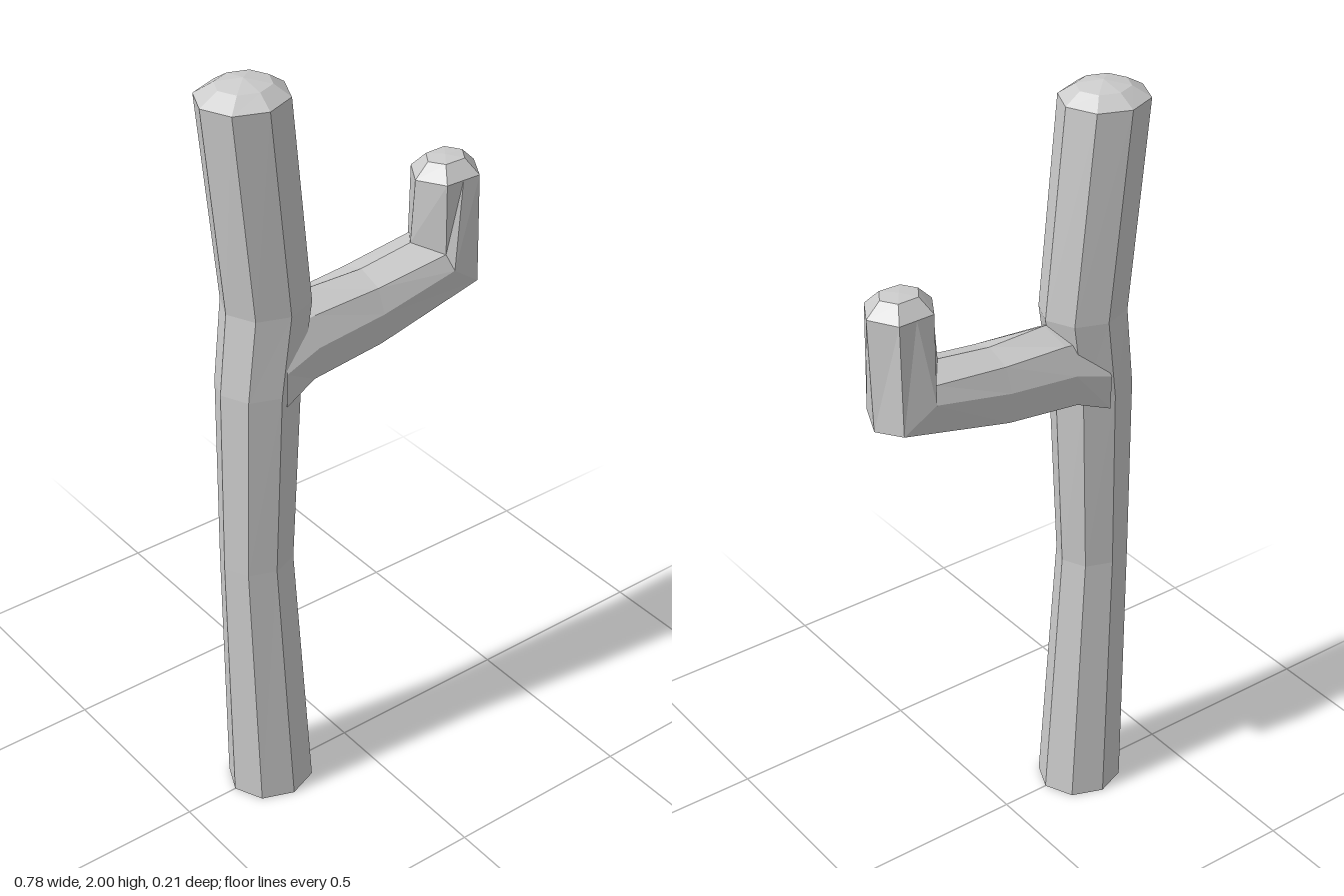
import * as THREE from 'three';

const material = new THREE.MeshStandardMaterial({ color: 0xcccccc, flatShading: true, side: THREE.DoubleSide });

// Five points run along the +z half of a ring; the -z half is mirrored.
function mirrorRing(half) {
  const back = half.slice(1, 4).reverse().map(([x, y, z]) => [x, y, -z]);
  return [...half, ...back];
}

// Skins eight-sided rings and closes the last one with a fan.
function loft(name, halves, tip) {
  const rings = halves.map(mirrorRing);
  const n = 8;
  const index = [];
  for (let i = 0; i < rings.length - 1; i++) {
    for (let j = 0; j < n; j++) {
      const k = (j + 1) % n;
      const a = i * n + j, b = i * n + k;
      index.push(a, b, b + n, a, b + n, a + n);
    }
  }
  const last = (rings.length - 1) * n;
  for (let j = 0; j < n; j++) index.push(last + j, last + (j + 1) % n, last + n);

  const geometry = new THREE.BufferGeometry();
  geometry.setAttribute('position', new THREE.Float32BufferAttribute([...rings.flat(), tip].flat(), 3));
  geometry.setIndex(index);
  const flat = geometry.toNonIndexed();
  flat.computeVertexNormals();
  const mesh = new THREE.Mesh(flat, material);
  mesh.name = name;
  return mesh;
}

// Half octagon from -x through +z to +x.
function trunkRing([y, x, rx, rz]) {
  return [0, 1, 2, 3, 4].map((i) => {
    const t = (i * Math.PI) / 4;
    return [x - rx * Math.cos(t), y, rz * Math.sin(t)];
  });
}

// Arm section at x: heights of ridge, shoulder, side, lower edge and keel.
function armRing(x, ys, zs) {
  return ys.map((y, i) => [x[i], y, zs[i]]);
}

// Upright section, six-sided in outline, centred on x = 0.3.
function uprightRing(y, rx, rz) {
  return [[-1, 0], [-0.54, 1], [0, 1.02], [0.54, 1.04], [1, 0]]
    .map(([x, z]) => [0.298 + x * rx, y, z * rz]);
}

export function createModel() {
  const group = new THREE.Group();
  group.name = 'cactus';

  // Trunk, open underneath, with a low domed top: y, centre x, radius x, radius z
  const trunk = [
    [0, -0.243, 0.113, 0.104],
    [0.72, -0.27, 0.095, 0.085],
    [1.22, -0.254, 0.106, 0.097],
    [1.43, -0.226, 0.112, 0.1],
    [1.96, -0.277, 0.112, 0.104],
    [1.988, -0.273, 0.068, 0.062],
  ].map(trunkRing);
  group.add(loft('trunk', trunk, [-0.273, 2, 0]));

  // Side arm: root inside the trunk, a rising branch, mitred elbow, upright end
  const arm = [
    armRing([-0.22, -0.22, -0.24, -0.24, -0.22], [1.41, 1.37, 1.28, 1.19, 1.18], [0, 0.06, 0.099, 0.097, 0]),
    armRing([-0.11, -0.13, -0.14, -0.15, -0.15], [1.417, 1.38, 1.31, 1.225, 1.205], [0, 0.06, 0.09, 0.082, 0]),
    armRing([0.05, 0.05, 0.05, 0.05, 0.05], [1.413, 1.39, 1.33, 1.246, 1.228], [0, 0.066, 0.09, 0.08, 0]),
    armRing([0.197, 0.25, 0.262, 0.345, 0.376], [1.432, 1.412, 1.373, 1.312, 1.3], [0, 0.07, 0.09, 0.077, 0]),
    uprightRing(1.595, 0.089, 0.068),
    uprightRing(1.632, 0.052, 0.037),
  ];
  group.add(loft('sideArm', arm, [0.298, 1.636, 0]));

  return group;
}
